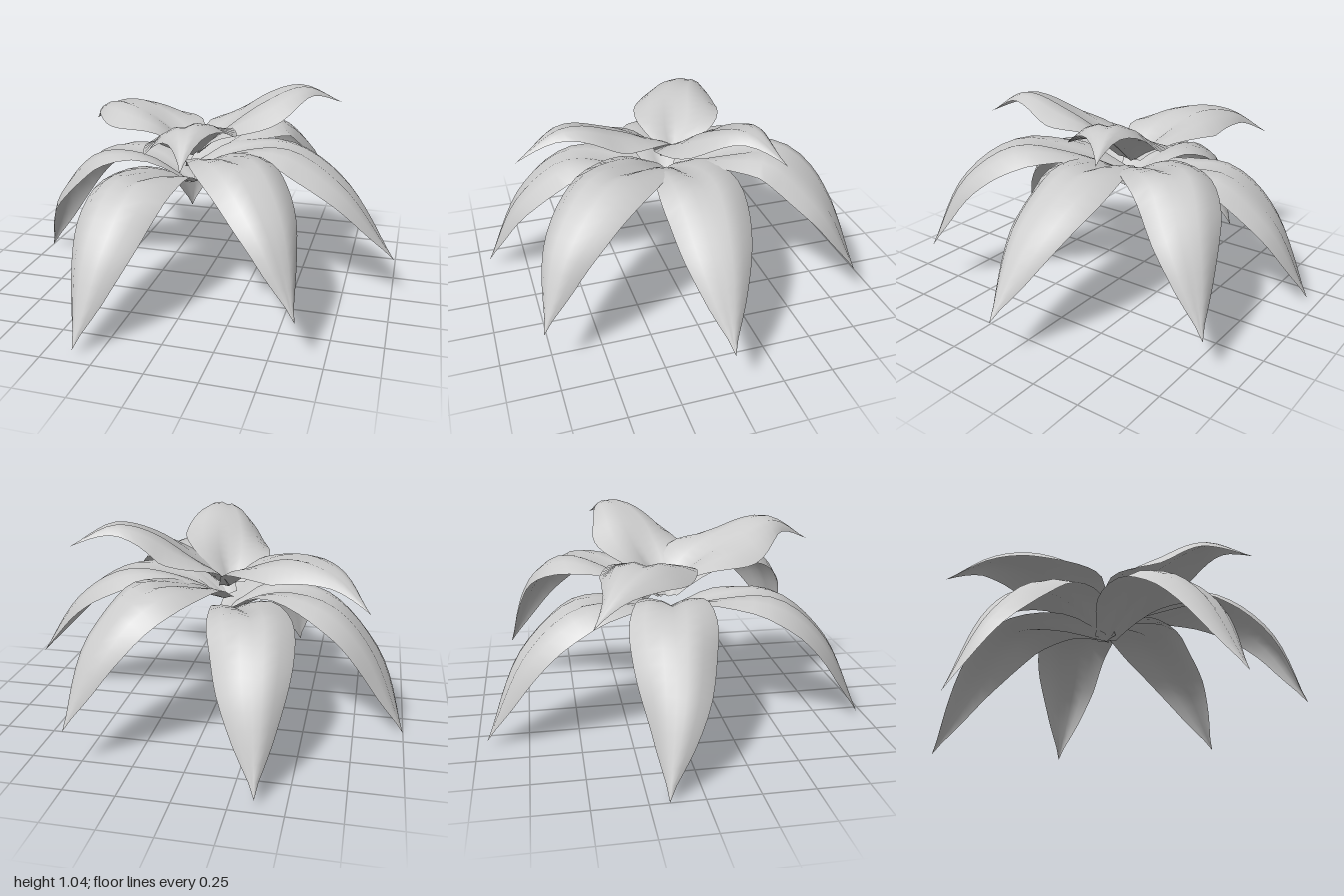
import * as THREE from 'three';

const V = (p) => new THREE.Vector3(...p);
const material = new THREE.MeshStandardMaterial({ color: 0xcccccc, side: THREE.DoubleSide });

// Half widths from base to tip
const LOWER = [0.06, 0.155, 0.205, 0.195, 0.158, 0.088, 0];
const UPPER = [0.07, 0.2, 0.23, 0.205, 0.135, 0.05, 0];

// Cross-section: position across, and lift at the folded base and at the drooping blade
const ACROSS = [-1, -0.65, -0.28, 0, 0.28, 0.65, 1];
const FOLD = [0.35, 0.3, 0.17, 0, 0.17, 0.3, 0.35];
const BLADE = [-0.36, -0.05, 0.07, 0, 0.07, -0.05, -0.36];

// Sweeps the folded cross-section along a curved midrib, rolled about it
function petal(name, points, widths, roll = 0) {
  const rib = new THREE.CatmullRomCurve3(points.map(V));
  const outline = new THREE.SplineCurve(widths.map((w, i) => new THREE.Vector2(i, w)));
  const rows = 18, cols = ACROSS.length, pos = [], index = [];
  const up = new THREE.Vector3(0, 1, 0);
  for (let i = 0; i <= rows; i++) {
    const t = i / rows;
    const centre = rib.getPointAt(t), tangent = rib.getTangentAt(t);
    const side = new THREE.Vector3().crossVectors(up, tangent).normalize().applyAxisAngle(tangent, roll);
    const normal = new THREE.Vector3().crossVectors(tangent, side);
    const half = i === rows ? 0 : Math.max(outline.getPoint(t).y, 0);
    const open = THREE.MathUtils.smoothstep(t, 0.05, 0.5);
    for (let j = 0; j < cols; j++) {
      const lift = THREE.MathUtils.lerp(FOLD[j], BLADE[j], open);
      const p = centre.clone().addScaledVector(side, half * ACROSS[j]).addScaledVector(normal, half * lift);
      pos.push(p.x, p.y, p.z);
      if (i < rows && j < cols - 1) {
        const a = i * cols + j, b = a + 1, c = a + cols, d = c + 1;
        index.push(a, c, b);
        if (i < rows - 1) index.push(b, c, d);
      }
    }
  }
  const geometry = new THREE.BufferGeometry();
  geometry.setAttribute('position', new THREE.Float32BufferAttribute(pos, 3));
  geometry.setIndex(index);
  geometry.computeVertexNormals();
  const mesh = new THREE.Mesh(geometry, material);
  mesh.name = name;
  return mesh;
}

export function createModel() {
  const group = new THREE.Group();
  group.name = 'flower';

  // Lowest ring: three long drooping petals
  const low = [[-0.07, 0.54, 0], [-0.19, 0.63, 0.25], [-0.265, 0.655, 0.5], [-0.31, 0.46, 0.74], [-0.36, 0.03, 0.95]];
  group.add(petal('lowPetalFront', low, LOWER));
  group.add(petal('lowPetalBack', low.map(([x, y, z]) => [x, y, -z]), LOWER));
  group.add(petal('lowPetalRight',
    [[-0.07, 0.54, 0], [-0.33, 0.66, -0.03], [-0.6, 0.64, -0.07], [-0.82, 0.42, -0.1], [-1, 0, -0.16]], LOWER));

  // Middle ring: three arching petals
  group.add(petal('middlePetalFront',
    [[-0.05, 0.62, 0], [0.13, 0.73, 0.2], [0.31, 0.785, 0.43], [0.48, 0.61, 0.64], [0.62, 0.23, 0.79]], LOWER));
  group.add(petal('middlePetalLeft',
    [[-0.05, 0.62, 0], [0.2, 0.72, -0.03], [0.45, 0.75, -0.04], [0.72, 0.59, -0.02], [1, 0.22, 0]], LOWER));
  group.add(petal('middlePetalBack',
    [[-0.05, 0.62, -0.04], [0.1, 0.73, -0.27], [0.25, 0.785, -0.5], [0.42, 0.59, -0.68], [0.55, 0.2, -0.84]], LOWER));

  // Top ring: three broad raised petals, the front one tilted sideways
  group.add(petal('topPetalRight',
    [[-0.07, 0.69, -0.05], [-0.22, 0.8, -0.11], [-0.42, 0.89, -0.18], [-0.63, 0.865, -0.31], [-0.8, 0.73, -0.45]], UPPER));
  group.add(petal('topPetalLeft',
    [[-0.05, 0.69, -0.04], [0.1, 0.82, -0.1], [0.28, 0.97, -0.16], [0.46, 1.035, -0.25], [0.66, 0.94, -0.35]], UPPER));
  group.add(petal('topPetalFront',
    [[-0.07, 0.69, 0], [-0.04, 0.79, 0.12], [0, 0.91, 0.32], [0.06, 0.985, 0.56], [0.11, 0.86, 0.79]], UPPER, 0.2));

  return group;
}
